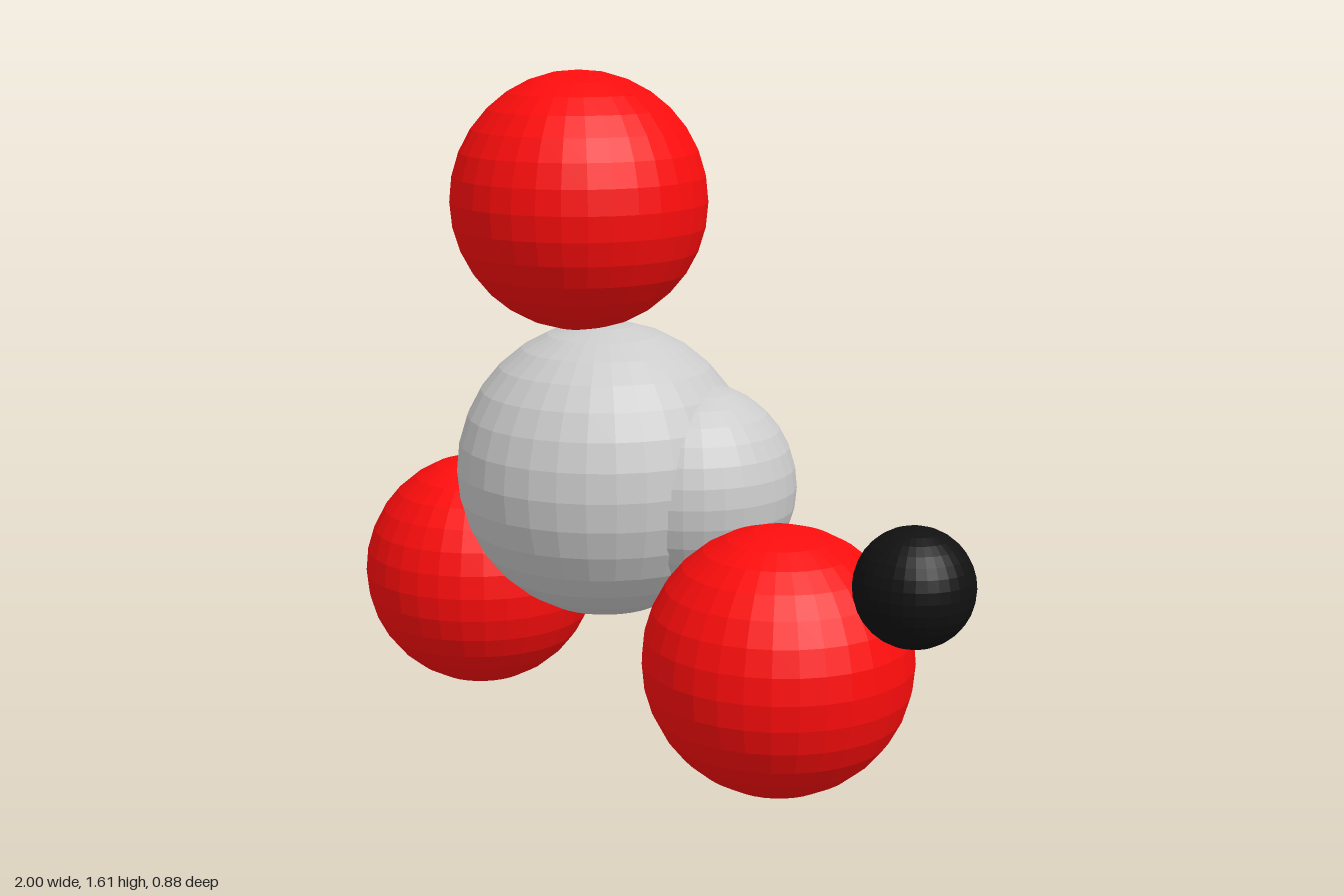
import * as THREE from 'three';

export function createModel() {
  const model = new THREE.Group();
  const material = (color) => new THREE.MeshStandardMaterial({ color, flatShading: true });
  const grey = material(0xcccccc);
  const red = material(0xff0d0d);
  const black = material(0x111111);

  // One faceted ball shape, scaled for every atom
  const ball = new THREE.SphereGeometry(1, 32, 16);
  const addAtom = (name, mat, radius, x, y, z) => {
    const mesh = new THREE.Mesh(ball, mat);
    mesh.name = name;
    mesh.scale.setScalar(radius);
    mesh.position.set(x, y, z);
    model.add(mesh);
  };

  // Overlapping centre pair
  addAtom('centreAtom', grey, 0.347, -0.143, 0.68, 0.013);
  addAtom('sideAtom', grey, 0.243, 0.062, 0.657, -0.058);

  // Three outer atoms
  addAtom('topOuterAtom', red, 0.297, -0.192, 1.308, 0.042);
  addAtom('rightOuterAtom', red, 0.297, -0.703, 0.297, -0.143);
  addAtom('leftOuterAtom', red, 0.297, 0.461, 0.369, 0.142);

  // Small detached atom
  addAtom('smallAtom', black, 0.124, 0.876, 0.64, 0.255);

  return model;
}
